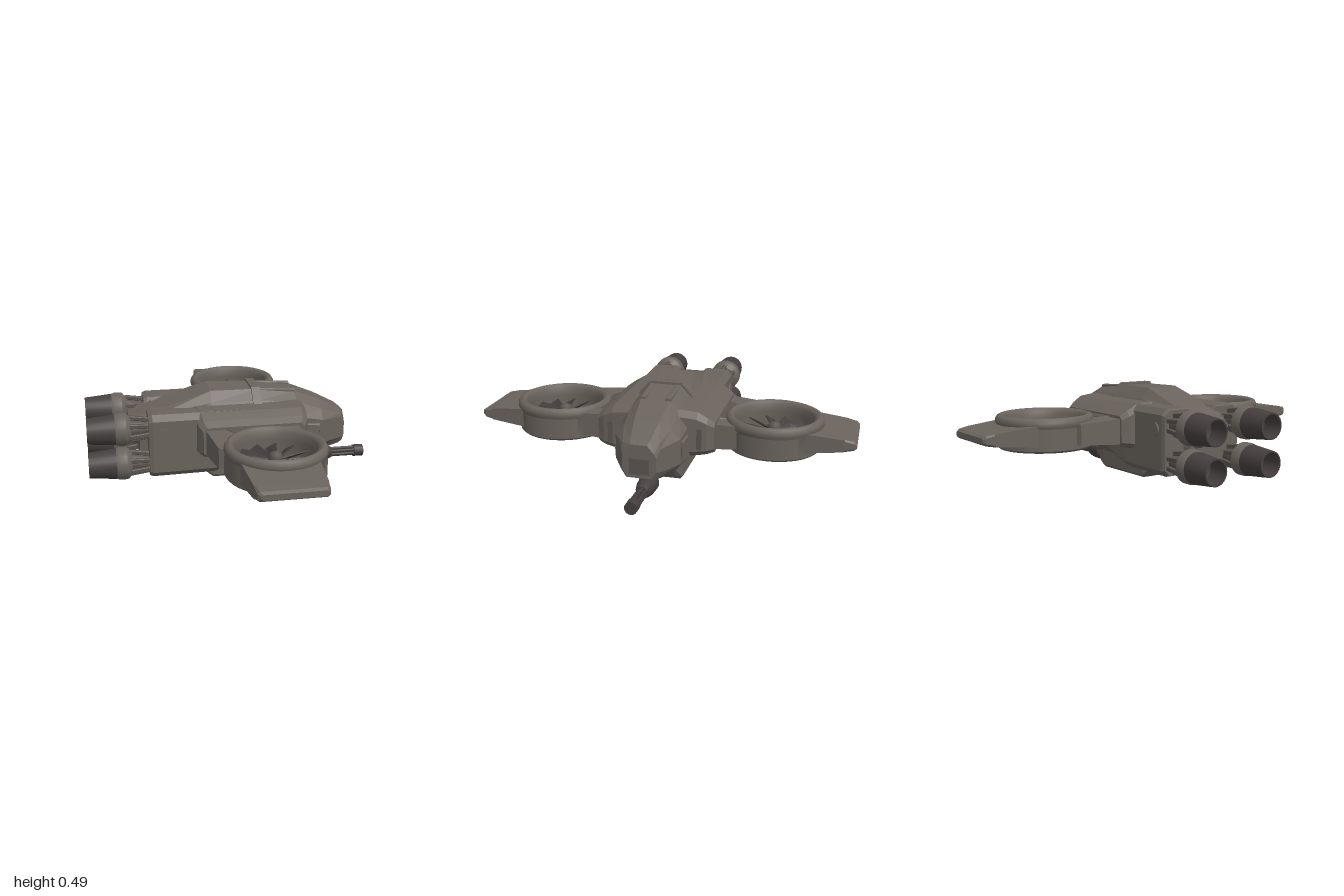
import * as THREE from 'three';
import { toCreasedNormals } from 'three/addons/utils/BufferGeometryUtils.js';

const V2 = (a) => a.map(([x, y]) => new THREE.Vector2(x, y));

// Skin a list of equal-length rings of [x, y, z], capped at both ends, facing outward.
function loft(rings) {
  const n = rings[0].length, tris = [];
  for (let r = 0; r < rings.length - 1; r++)
    for (let i = 0; i < n; i++) {
      const j = (i + 1) % n, A = rings[r], B = rings[r + 1];
      tris.push([A[i], A[j], B[j]], [A[i], B[j], B[i]]);
    }
  const first = rings[0], last = rings[rings.length - 1];
  for (let i = 1; i < n - 1; i++)
    tris.push([first[0], first[i + 1], first[i]], [last[0], last[i], last[i + 1]]);
  const c = first[0];
  let volume = 0;
  for (const t of tris) {
    const [p, q, s] = t.map((v) => new THREE.Vector3(v[0] - c[0], v[1] - c[1], v[2] - c[2]));
    volume += p.dot(q.cross(s));
  }
  if (volume < 0) tris.forEach((t) => t.reverse());
  const g = new THREE.BufferGeometry();
  g.setAttribute('position', new THREE.Float32BufferAttribute(tris.flat(2), 3));
  g.computeVertexNormals();
  return g;
}

// Symmetric ring across the hull from a half outline of [z, y], bottom to top.
const hullRing = (x, half) => [
  ...half.map(([z, y]) => [x, y, z]),
  ...half.slice().reverse().map(([z, y]) => [x, y, -z]),
];

// Chamfered rectangle as [u, v] corners.
const chamfer = (u0, u1, v0, v1, c) => [
  [u0 + c, v0], [u1 - c, v0], [u1, v0 + c], [u1, v1 - c],
  [u1 - c, v1], [u0 + c, v1], [u0, v1 - c], [u0, v0 + c],
];
const ringX = (x, z0, z1, y0, y1, c) => chamfer(z0, z1, y0, y1, c).map(([z, y]) => [x, y, z]);
const ringZ = (z, x0, x1, y0, y1, c) => chamfer(x0, x1, y0, y1, c).map(([x, y]) => [x, y, z]);

// Copy reflected across z = 0 with its winding corrected.
function reflect(geo) {
  const g = geo.index ? geo.toNonIndexed() : geo.clone();
  for (const name of ['position', 'normal']) {
    const a = g.attributes[name], v = new THREE.Vector3(), w = new THREE.Vector3();
    for (let i = 0; i < a.count; i += 3) {
      v.fromBufferAttribute(a, i);
      a.setXYZ(i, v.x, v.y, -v.z);
      v.fromBufferAttribute(a, i + 1);
      w.fromBufferAttribute(a, i + 2);
      a.setXYZ(i + 1, w.x, w.y, -w.z);
      a.setXYZ(i + 2, v.x, v.y, -v.z);
    }
  }
  return g;
}

const box = (x0, x1, y0, y1, z0, z1) =>
  new THREE.BoxGeometry(x1 - x0, y1 - y0, z1 - z0).translate((x0 + x1) / 2, (y0 + y1) / 2, (z0 + z1) / 2);

// Cylinder lying along x, r0 at x0 and r1 at x1.
const rod = (x0, x1, r0, r1, y, z, n = 16) =>
  new THREE.CylinderGeometry(r0, r1, x1 - x0, n).rotateZ(Math.PI / 2).translate((x0 + x1) / 2, y, z);

export function createModel() {
  const model = new THREE.Group();
  const paint = (name, color) => {
    const m = new THREE.MeshStandardMaterial({ color });
    m.name = name;
    return m;
  };
  const hull = paint('hull grey', 0x6a635d);
  const dark = paint('dark metal', 0x453f3e);
  const trim = paint('trim grey', 0x5b544f);
  const add = (name, geo, mat) => {
    const m = new THREE.Mesh(geo, mat);
    m.name = name;
    model.add(m);
  };
  const pair = (name, geo, mat) => {
    add(name + 'Left', geo, mat);
    add(name + 'Right', reflect(geo), mat);
  };

  // Fuselage
  add('fuselage', loft([
    hullRing(-0.50, [[0.08, 0.13], [0.11, 0.17], [0.11, 0.30], [0.11, 0.36], [0.09, 0.37]]),
    hullRing(-0.38, [[0.10, 0.08], [0.14, 0.15], [0.14, 0.34], [0.13, 0.39], [0.10, 0.405]]),
    hullRing(-0.12, [[0.11, 0.08], [0.17, 0.16], [0.17, 0.36], [0.13, 0.43], [0.09, 0.485]]),
    hullRing(0.14, [[0.11, 0.08], [0.18, 0.16], [0.18, 0.36], [0.13, 0.43], [0.08, 0.48]]),
    hullRing(0.34, [[0.11, 0.09], [0.18, 0.17], [0.18, 0.34], [0.13, 0.41], [0.075, 0.455]]),
    hullRing(0.48, [[0.10, 0.115], [0.165, 0.18], [0.165, 0.31], [0.12, 0.36], [0.065, 0.40]]),
    hullRing(0.60, [[0.075, 0.14], [0.10, 0.18], [0.10, 0.30], [0.09, 0.32], [0.05, 0.34]]),
    hullRing(0.625, [[0.06, 0.15], [0.085, 0.19], [0.085, 0.26], [0.075, 0.28], [0.04, 0.32]]),
  ]), hull);
  add('tailBlock', loft([
    ringX(-0.55, -0.09, 0.09, 0.22, 0.35, 0.02), ringX(-0.42, -0.11, 0.11, 0.20, 0.40, 0.02),
  ]), hull);
  add('belly', loft([
    ringX(-0.21, -0.09, 0.09, 0.08, 0.16, 0.01), ringX(-0.11, -0.125, 0.125, 0.005, 0.18, 0.015),
    ringX(0.26, -0.125, 0.125, 0.005, 0.18, 0.015), ringX(0.29, -0.12, 0.12, 0.02, 0.18, 0.015),
    ringX(0.38, -0.10, 0.10, 0.115, 0.18, 0.01),
  ]), hull);

  // Roof details
  add('roofCollar', loft([0.10, 0.145].map((x) =>
    hullRing(x, [[0.185, 0.30], [0.185, 0.365], [0.135, 0.438], [0.085, 0.492]]))), hull);
  pair('roofRail', loft([
    ringX(0.14, 0.055, 0.085, 0.44, 0.482, 0.006), ringX(0.34, 0.05, 0.08, 0.42, 0.468, 0.006),
  ]), hull);
  pair('cheekPod', loft([
    ringX(0.30, 0.12, 0.188, 0.17, 0.32, 0.015), ringX(0.46, 0.12, 0.176, 0.17, 0.30, 0.015),
  ]), hull);
  pair('cheekVent', box(0.455, 0.463, 0.21, 0.27, 0.14, 0.168), dark);
  add('chinPlate', box(0.618, 0.63, 0.17, 0.25, -0.05, 0.05), trim);

  // Rear engine housings and side caps
  pair('engineHousing', loft([
    ringX(-0.46, 0.06, 0.235, 0.08, 0.405, 0.03), ringX(-0.44, 0.06, 0.242, 0.075, 0.412, 0.03),
    ringX(-0.12, 0.06, 0.242, 0.08, 0.412, 0.03), ringX(0.11, 0.06, 0.23, 0.15, 0.412, 0.03),
  ]), hull);
  pair('housingCap', new THREE.CylinderGeometry(0.035, 0.035, 0.02, 20)
    .rotateX(Math.PI / 2).translate(-0.385, 0.31, 0.24), hull);

  // Shoulder blocks where the wings attach
  pair('shoulder', loft([
    ringZ(0.12, -0.24, 0.38, 0.17, 0.42, 0.03), ringZ(0.22, -0.22, 0.37, 0.18, 0.41, 0.03),
    ringZ(0.27, -0.21, 0.36, 0.19, 0.38, 0.025), ringZ(0.305, -0.19, 0.34, 0.20, 0.355, 0.02),
  ]), hull);
  pair('shoulderVent', box(0.362, 0.37, 0.22, 0.33, 0.205, 0.245), trim);

  // Wings, cut to fit around the duct
  const cx = 0.12, cz = 0.575, mid = 0.275, rad = THREE.MathUtils.degToRad;
  function wing(corners, a0, a1, halfThickness) {
    const s = new THREE.Shape(V2(corners));
    s.absarc(cx, cz, 0.225, rad(a0), rad(a1), false);
    const g = new THREE.ExtrudeGeometry(s, { depth: 2, bevelEnabled: false, curveSegments: 16 });
    g.rotateX(Math.PI / 2).translate(0, 1, 0);
    const p = g.attributes.position;
    for (let i = 0; i < p.count; i++) p.setY(i, mid + p.getY(i) * halfThickness(p.getZ(i)));
    g.computeVertexNormals();
    return g;
  }
  pair('wingRoot', wing([[0.31, 0.27], [-0.18, 0.27], [-0.15, 0.52]], 189, 323,
    (z) => 0.068 - 0.06 * (z - 0.27)), hull);
  pair('wingOuter', wing([[-0.065, 0.94], [0.275, 0.94], [0.292, 0.73]], 40, 155,
    (z) => 0.055 - 0.1 * (z - 0.70)), hull);
  pair('wingTip', loft([
    ringZ(0.94, -0.065, 0.275, mid - 0.032, mid + 0.032, 0.008),
    ringZ(0.985, -0.06, 0.27, mid - 0.024, mid + 0.024, 0.01),
    ringZ(1.0, -0.045, 0.26, mid - 0.014, mid + 0.014, 0.008),
  ]), hull);
  pair('wingRootFairing', loft([
    ringZ(0.29, -0.10, 0.24, 0.21, 0.35, 0.02), ringZ(0.35, -0.06, 0.22, 0.22, 0.34, 0.02),
  ]), trim);

  // Lift fan ducts
  const duct = new THREE.LatheGeometry(V2([
    [0.205, 0.20], [0.215, 0.19], [0.235, 0.19], [0.245, 0.20], [0.245, 0.31], [0.252, 0.32],
    [0.252, 0.342], [0.243, 0.357], [0.228, 0.363], [0.213, 0.357], [0.203, 0.342],
    [0.203, 0.30], [0.205, 0.20],
  ]), 40);
  pair('fanDuct', toCreasedNormals(duct, 0.7).translate(cx, 0, cz), hull);
  for (const [name, turn] of [['ductPanelFront', 90], ['ductPanelRear', 270]]) {
    const g = new THREE.CylinderGeometry(0.251, 0.251, 0.10, 10, 1, true, rad(turn - 36), rad(72));
    pair(name, g.translate(cx, 0.26, cz), hull);
  }

  // Fan hub and pitched blades
  const hub = new THREE.LatheGeometry(V2([
    [0, 0.175], [0.012, 0.20], [0.035, 0.225], [0.038, 0.29], [0.025, 0.31], [0, 0.318],
  ]), 16);
  pair('fanHub', hub.translate(cx, 0, cz), trim);
  const bladeCount = 13;
  for (let i = 0; i < bladeCount; i++) {
    const blade = loft([[0.03, 0.011, 0.9], [0.11, 0.022, 0.7], [0.203, 0.03, 0.5]].map(([r, w, pitch]) => {
      const c = Math.cos(pitch), s = Math.sin(pitch);
      return [[-w, -0.003], [w, -0.003], [w, 0.003], [-w, 0.003]]
        .map(([u, v]) => [r, u * s + v * c, u * c - v * s]);
    }));
    blade.rotateY((i / bladeCount) * Math.PI * 2).translate(cx, 0.265, cz);
    pair('fanBlade' + i + '_', blade, dark);
  }

  // Four rear thrusters
  [0.332, 0.145].forEach((y, row) => {
    const tag = row ? 'lower' : 'upper', z = 0.175;
    const nozzle = new THREE.LatheGeometry(V2([
      [0.05, 0.60], [0.079, 0.625], [0.079, 0.64], [0.067, 0.772], [0.059, 0.772], [0.062, 0.66], [0, 0.64],
    ]), 24).rotateZ(Math.PI / 2);
    pair(tag + 'Nozzle', toCreasedNormals(nozzle, 0.6).translate(0, y, z), dark);
    const collar = new THREE.LatheGeometry(V2([
      [0, 0.545], [0.058, 0.548], [0.078, 0.565], [0.085, 0.575], [0.085, 0.615], [0.078, 0.632], [0, 0.632],
    ]), 24).rotateZ(Math.PI / 2);
    pair(tag + 'Collar', toCreasedNormals(collar, 0.6).translate(0, y, z), hull);
    pair(tag + 'Neck', rod(-0.56, -0.45, 0.05, 0.036, y, z), trim);
    for (let i = 0; i < 6; i++) {
      const a = (i / 6) * Math.PI * 2, dy = Math.cos(a), dz = Math.sin(a);
      const strut = loft([[-0.555, 0.06], [-0.45, 0.045]].map(([x, r]) =>
        ringX(x, z + dz * r - 0.011, z + dz * r + 0.011, y + dy * r - 0.011, y + dy * r + 0.011, 0.003)));
      pair(tag + 'Strut' + i + '_', strut, trim);
    }
  });

  // Chin gun
  const gy = 0.055;
  add('gunMount', box(0.42, 0.50, 0.07, 0.14, -0.04, 0.04), trim);
  add('gunRear', rod(0.405, 0.46, 0.034, 0.038, gy, 0), dark);
  const turret = new THREE.LatheGeometry(V2([
    [0, -0.585], [0.03, -0.583], [0.04, -0.56], [0.048, -0.52], [0.05, -0.45], [0.04, -0.438], [0, -0.438],
  ]), 20).rotateZ(Math.PI / 2);
  add('gunBody', toCreasedNormals(turret, 0.6).translate(0, gy, 0), dark);
  add('gunCore', rod(0.57, 0.73, 0.012, 0.012, gy, 0, 10), dark);
  for (let i = 0; i < 6; i++) {
    const a = (i / 6) * Math.PI * 2;
    add('gunBarrel' + i, rod(0.57, 0.765, 0.009, 0.009, gy + Math.cos(a) * 0.02, Math.sin(a) * 0.02, 8), dark);
  }
  add('gunMuzzle', rod(0.715, 0.768, 0.033, 0.033, gy, 0, 16), dark);
  return model;
}
